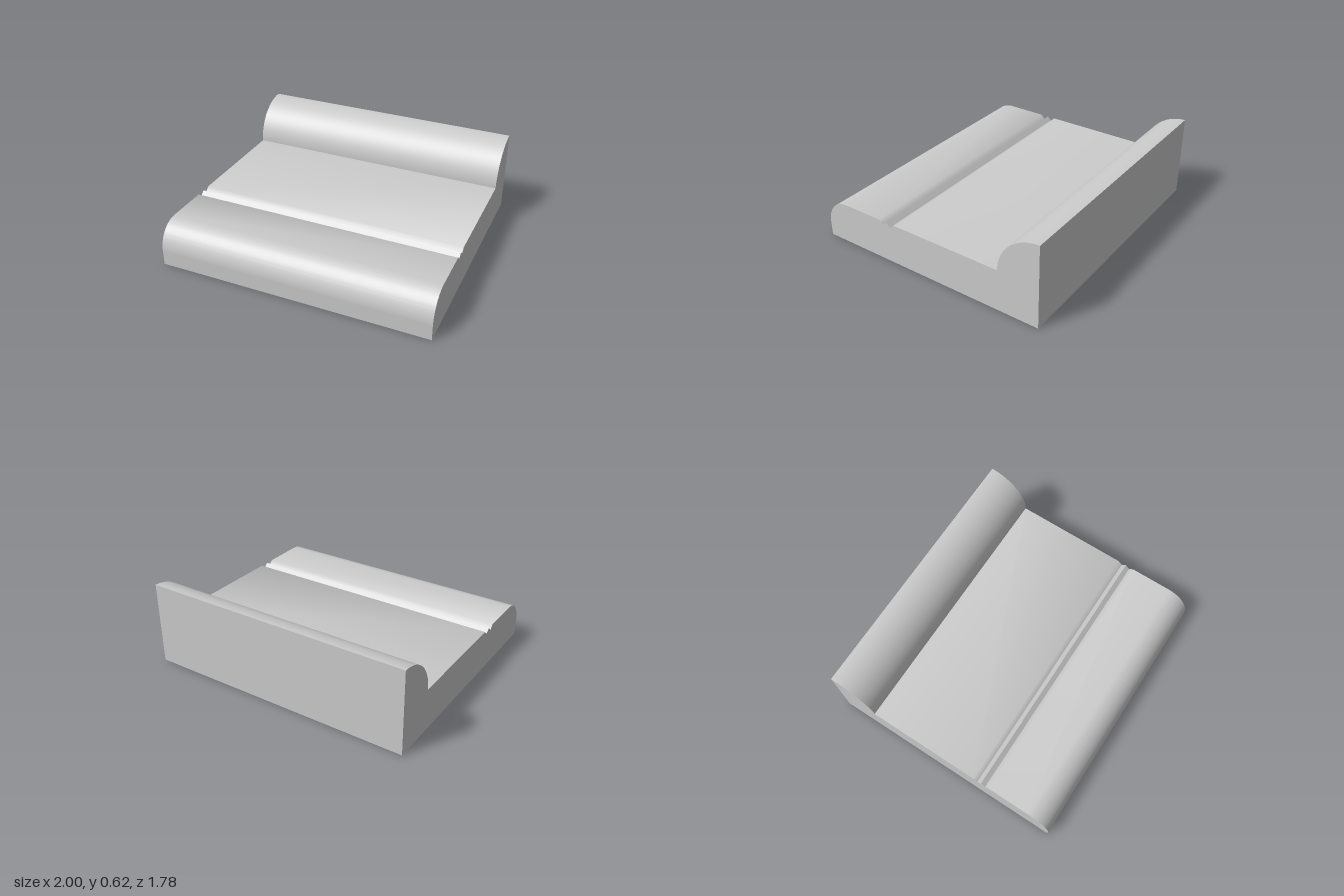
import * as THREE from 'three';
import { toCreasedNormals } from 'three/addons/utils/BufferGeometryUtils.js';

const WIDTH = 2;
const FRONT = 0.89, BACK = -0.89, DECK = 0.31;

// Side profile drawn as (z, y)
function sideProfile() {
  const s = new THREE.Shape();
  s.moveTo(BACK, 0);
  s.lineTo(FRONT, 0);
  s.lineTo(FRONT, 0.11);
  // rounded front edge
  s.absellipse(0.71, 0.11, FRONT - 0.71, DECK - 0.11, 0, Math.PI / 2, false);
  // two V grooves across the deck
  for (const z of [0.365, 0.3]) {
    s.lineTo(z + 0.033, DECK);
    s.lineTo(z, DECK - 0.03);
    s.lineTo(z - 0.033, DECK);
  }
  // quarter-round rear rest
  s.lineTo(-0.585, DECK);
  s.absellipse(BACK, DECK, 0.305, 0.305, 0, Math.PI / 2, false);
  s.lineTo(BACK, 0);
  return s;
}

export function createModel() {
  const group = new THREE.Group();
  group.name = 'groovedStand';

  // Run the profile across the full width
  let geometry = new THREE.ExtrudeGeometry(sideProfile(), {
    depth: WIDTH, bevelEnabled: false, curveSegments: 16,
  });
  geometry.rotateY(-Math.PI / 2);
  geometry.translate(WIDTH / 2, 0, 0);
  geometry = toCreasedNormals(geometry, 1.0);

  const body = new THREE.Mesh(geometry, new THREE.MeshStandardMaterial({ color: 0xcccccc }));
  body.name = 'standBody';
  group.add(body);
  return group;
}
